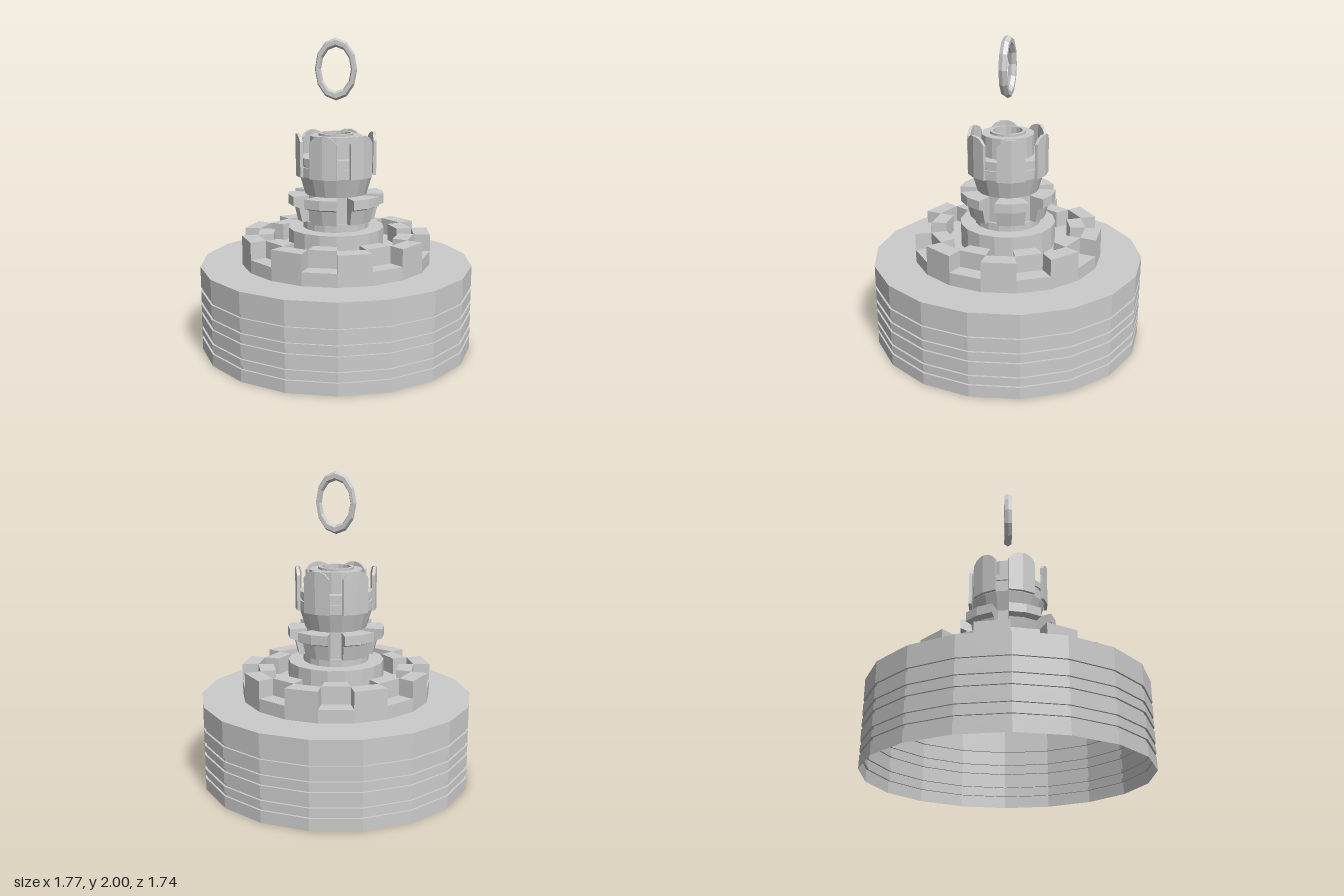
import * as THREE from 'three';

const SIDES = 18;
const STEP = (Math.PI * 2) / SIDES;
const START = STEP / 2; // a facet faces straight to the front

const mat = new THREE.MeshStandardMaterial({
  color: 0xcccccc, flatShading: true, side: THREE.DoubleSide,
});

const profile = (pts) => pts.map(([r, y]) => new THREE.Vector2(r, y));

function add(parent, name, geometry) {
  const mesh = new THREE.Mesh(geometry, mat);
  mesh.name = name;
  parent.add(mesh);
  return mesh;
}

// Full turned part
function turned(parent, name, pts) {
  return add(parent, name, new THREE.LatheGeometry(profile(pts), SIDES, START, Math.PI * 2));
}

// Part of a turned ring, closed at both ends
function turnedSector(parent, name, pts, from, facets) {
  const group = new THREE.Group();
  group.name = name;
  parent.add(group);
  const closed = [...pts, pts[0]];
  add(group, name + 'Body', new THREE.LatheGeometry(profile(closed), facets, from, facets * STEP));
  for (const angle of [from, from + facets * STEP]) {
    const cap = add(group, name + 'End', new THREE.ShapeGeometry(new THREE.Shape(profile(pts))));
    cap.rotation.y = angle - Math.PI / 2;
  }
}

// Castellated collar: two rings of cells, raised alternately
function collarGeometry() {
  const low = 0.64, high = 0.75, radii = [0.41, 0.51, 0.615];
  const pos = [];
  const point = (r, a, y) => [r * Math.sin(a), y, r * Math.cos(a)];
  const quad = (a, b, c, d) => pos.push(...a, ...b, ...c, ...a, ...c, ...d);
  for (let k = 0; k < SIDES; k++) {
    const a0 = (k - 0.5) * STEP, a1 = a0 + STEP;
    const heights = k % 2 ? [low, high] : [high, low];
    // cell tops and the radial walls between neighbours
    heights.forEach((y, i) => {
      const r0 = radii[i], r1 = radii[i + 1];
      quad(point(r0, a0, y), point(r1, a0, y), point(r1, a1, y), point(r0, a1, y));
      const w0 = point(r0, a0, low), w1 = point(r1, a0, low);
      const w2 = point(r1, a0, high), w3 = point(r0, a0, high);
      if (y === high) quad(w0, w1, w2, w3);
      else quad(w3, w2, w1, w0);
    });
    // round walls at the inner, middle and outer radius
    const wall = (r, out) => {
      const p = [point(r, a0, low), point(r, a1, low), point(r, a1, high), point(r, a0, high)];
      if (!out) p.reverse();
      quad(...p);
    };
    if (k % 2) {
      wall(radii[1], false);
      wall(radii[2], true);
    } else {
      wall(radii[0], false);
      wall(radii[1], true);
    }
  }
  const geo = new THREE.BufferGeometry();
  geo.setAttribute('position', new THREE.Float32BufferAttribute(pos, 3));
  geo.computeVertexNormals();
  return geo;
}

// One half of a petal: a flat panel with a sloped outer corner
function petalHalf(end) {
  const w = 0.0455;
  const shape = new THREE.Shape();
  shape.moveTo(-end * w, 1.13);
  shape.lineTo(end * w, 1.13);
  shape.lineTo(end * w, 1.355);
  shape.lineTo(end * w * 0.4, 1.385);
  shape.lineTo(-end * w * 0.4, 1.4);
  shape.lineTo(-end * w, 1.4);
  const geo = new THREE.ExtrudeGeometry(shape, { depth: 0.02, bevelEnabled: false });
  geo.translate(0, 0, 0.238);
  return geo;
}

export function createModel() {
  const model = new THREE.Group();
  model.name = 'grooved cap with ring';

  // Hollow drum with narrow grooves
  const drum = [[0.885, 0]];
  for (const y of [0.077, 0.14, 0.235, 0.3, 0.395]) {
    drum.push([0.885, y], [0.872, y], [0.872, y + 0.024], [0.885, y + 0.024]);
  }
  drum.push([0.885, 0.555], [0.615, 0.555]);
  turned(model, 'drum', drum);

  // Collar and its inner floor
  turned(model, 'collarWall', [[0.615, 0.555], [0.615, 0.64]]);
  add(model, 'collarTeeth', collarGeometry());
  turned(model, 'collarFloor', [[0.41, 0.64], [0.312, 0.64]]);

  // Flange, neck and hollow spout
  turned(model, 'neck', [
    [0.312, 0.64], [0.312, 0.79], [0.215, 0.79], [0.215, 0.84], [0.2, 0.84],
    [0.2, 1.01], [0.236, 1.13], [0.236, 1.19], [0.225, 1.19], [0.225, 1.21],
    [0.236, 1.21], [0.236, 1.25], [0.17, 1.25], [0.17, 1.385], [0.115, 1.385],
    [0.115, 1.4], [0.095, 1.4], [0.095, 1.26], [0, 1.26],
  ]);

  // Six brackets around the neck, each a ledge on a tapering leg
  for (let i = 0; i < 6; i++) {
    const from = START + STEP + i * 3 * STEP;
    turnedSector(model, 'bracket', [
      [0.19, 0.84], [0.25, 0.84], [0.272, 0.935], [0.312, 0.95], [0.312, 1.01], [0.19, 1.01],
    ], from, 2);
  }

  // Six two-faced petals around the spout
  for (let k = 0; k < SIDES; k++) {
    if (k % 3 === 1) continue;
    add(model, 'petal', petalHalf(k % 3 === 0 ? 1 : -1)).rotation.y = k * STEP;
  }

  // Oval ring floating above
  const ring = add(model, 'ring', new THREE.TorusGeometry(0.168, 0.029, 6, 12));
  ring.scale.x = 0.69;
  ring.position.y = 1.803;

  return model;
}
